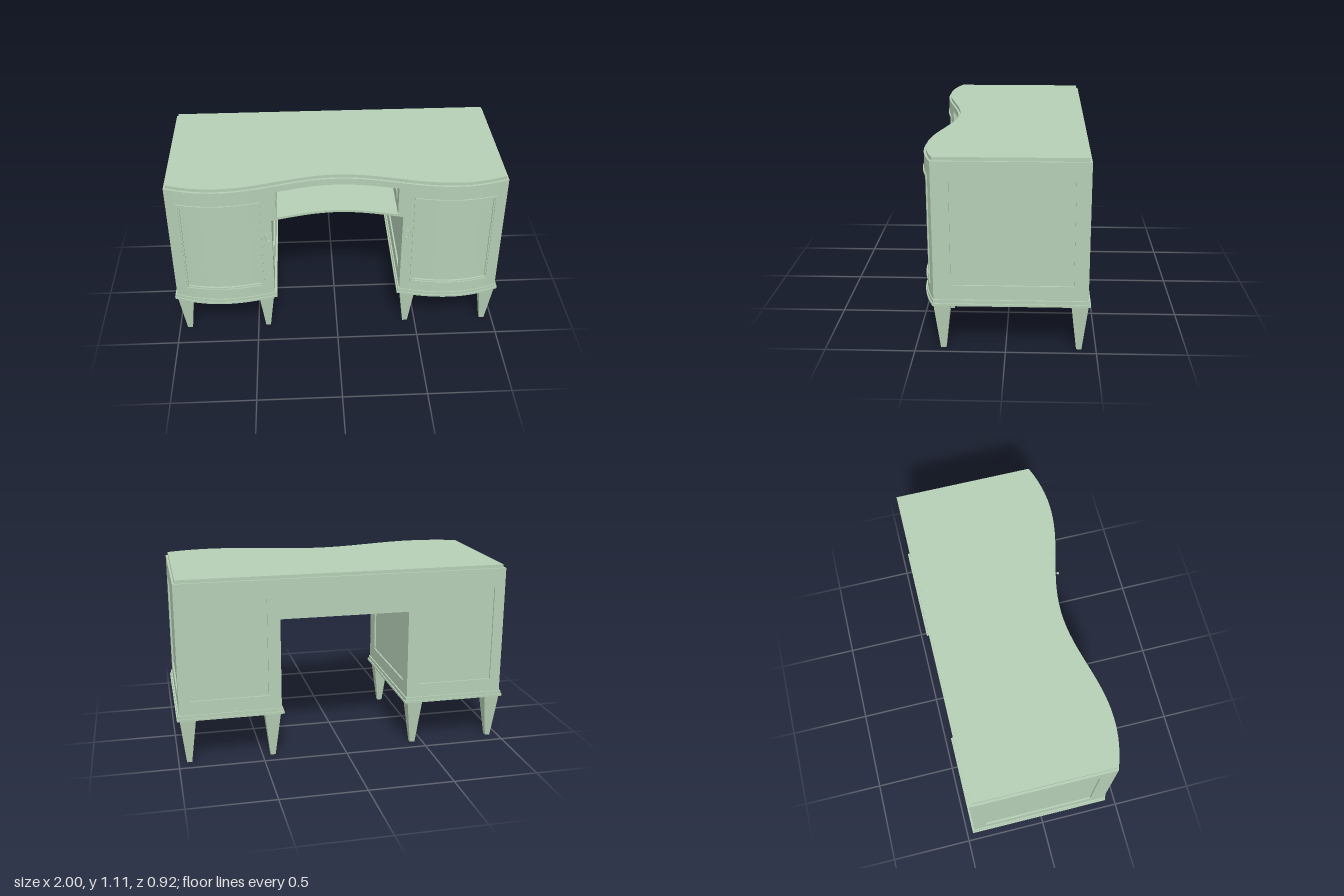
import * as THREE from 'three';
import { mergeGeometries, toCreasedNormals } from 'three/addons/utils/BufferGeometryUtils.js';

const material = new THREE.MeshStandardMaterial({ color: 0xb5ceb5 });
const BACK = -0.45, INSET = 0.01;

// Serpentine front: hollow in the middle, bowed over each pedestal
function frontZ(x) {
  const a = Math.abs(x);
  return a < 0.69
    ? 0.391 - 0.059 * Math.cos(Math.PI * a / 0.69)
    : 0.45 - 0.06 * ((a - 0.69) / 0.295) ** 2;
}

// Upright solid from xa to xb, its front following the curve plus an offset.
// The back is straight at z = back, or follows the curve when curvedBack is set.
function prism(xa, xb, y0, y1, offset, back, curvedBack = false) {
  const x0 = Math.min(xa, xb), x1 = Math.max(xa, xb);
  const n = Math.max(2, Math.ceil((x1 - x0) / 0.03));
  const shape = new THREE.Shape();
  const xs = Array.from({ length: n + 1 }, (_, i) => x0 + (x1 - x0) * i / n);
  xs.forEach((x, i) => shape[i ? 'lineTo' : 'moveTo'](x, -frontZ(x) - offset));
  if (curvedBack) {
    xs.reverse().forEach(x => shape.lineTo(x, -frontZ(x) - back));
  } else {
    shape.lineTo(x1, -back);
    shape.lineTo(x0, -back);
  }
  const g = new THREE.ExtrudeGeometry(shape, { depth: y1 - y0, bevelEnabled: false });
  g.rotateX(-Math.PI / 2).translate(0, y0, 0);
  return toCreasedNormals(g, 0.5);
}

// Curved rectangular frame on the front; outer and hole are [x0, x1, y0, y1]
function curvedFrame(s, [x0, x1, y0, y1], [a, b, c, d], offset, back) {
  return mergeGeometries([
    [x0, a, y0, y1], [b, x1, y0, y1], [a, b, y0, c], [a, b, d, y1],
  ].map(([l, r, lo, hi]) => prism(s * l, s * r, lo, hi, offset, back, true)));
}

// Flat frame with a rectangular hole, in the XY plane
function flatFrame([x0, x1, y0, y1], [a, b, c, d]) {
  const rect = (P, l, r, lo, hi) => new P([[l, lo], [r, lo], [r, hi], [l, hi]]
    .map(p => new THREE.Vector2(...p)));
  const shape = rect(THREE.Shape, x0, x1, y0, y1);
  shape.holes.push(rect(THREE.Path, a, b, c, d));
  return new THREE.ExtrudeGeometry(shape, { depth: INSET, bevelEnabled: false });
}

// Plate with a round top
function archPlate(halfWidth, height, depth) {
  const shape = new THREE.Shape();
  shape.moveTo(-halfWidth, 0);
  shape.lineTo(halfWidth, 0);
  shape.lineTo(halfWidth, height - halfWidth);
  shape.absarc(0, height - halfWidth, halfWidth, 0, Math.PI, false);
  return new THREE.ExtrudeGeometry(shape, { depth, bevelEnabled: false, curveSegments: 8 });
}

function add(parent, name, geometry, x = 0, y = 0, z = 0) {
  const mesh = new THREE.Mesh(geometry, material);
  mesh.name = name;
  mesh.position.set(x, y, z);
  parent.add(mesh);
  return mesh;
}

// Square tapered leg
function legGeometry() {
  const g = new THREE.CylinderGeometry(0.047 * Math.SQRT2, 0.015 * Math.SQRT2, 0.276, 4, 1);
  return toCreasedNormals(g.rotateY(Math.PI / 4), 0.3);
}

function handle(s) {
  const g = new THREE.Group();
  g.name = 'doorHandle';
  add(g, 'handlePlate', archPlate(0.018, 0.066, 0.005), 0, 0.702, 0);
  add(g, 'handleBoss', archPlate(0.011, 0.046, 0.010), 0, 0.711, 0);
  add(g, 'handleStem', new THREE.CylinderGeometry(0.003, 0.004, 0.036, 8).rotateX(Math.PI / 2), 0, 0.733, 0.018);
  add(g, 'handleKnob', new THREE.SphereGeometry(0.008, 12, 8), 0, 0.733, 0.036);
  g.position.set(s * 0.413, 0, frontZ(0.413) - 0.001);
  g.rotation.y = -s * 0.25;
  return g;
}

function pedestal(s) {
  const g = new THREE.Group();
  g.name = s > 0 ? 'leftPedestal' : 'rightPedestal';
  const top = 1.085, low = 0.3;

  // Core, whose faces show as the recessed panels
  add(g, 'cabinetCore', prism(s * 0.395, s * 0.975, 0.29, top, -INSET, BACK + INSET));

  // Curved front with door opening, and the door's two-step moulding
  add(g, 'cabinetFront', curvedFrame(s, [0.385, 0.985, low, top], [0.45, 0.92, 0.38, 0.99], 0, -INSET));
  add(g, 'doorMoulding', curvedFrame(s, [0.445, 0.925, 0.375, 0.995], [0.457, 0.913, 0.387, 0.983], 0.007, -INSET));
  add(g, 'doorInnerMoulding', curvedFrame(s, [0.457, 0.913, 0.387, 0.983], [0.466, 0.904, 0.396, 0.974], 0.001, -INSET));

  // Panelled back
  const back = [[0.385, 0.985], [0.46, 0.92]].map(p => p.map(v => v * s).sort((a, b) => a - b));
  add(g, 'backFrame', flatFrame([...back[0], low, top], [...back[1], 0.39, 0.975]), 0, 0, BACK);

  // Panelled outer side and kneehole side (shape x is -z after turning)
  const side = (name, x, front, panelTop) => add(g, name,
    flatFrame([-front, -BACK - INSET, low, top], [-0.295, 0.37, 0.39, panelTop])
      .rotateY(Math.PI / 2), Math.min(s * x, s * (x + INSET)));
  side('outerSideFrame', 0.975, 0.384, 0.975);
  side('kneeholeSideFrame', 0.385, 0.391, 0.79);

  // Base moulding and legs
  add(g, 'baseMouldingLower', prism(s * 0.37, s, 0.275, 0.288, 0.012, -0.463));
  add(g, 'baseMouldingUpper', prism(s * 0.377, s * 0.993, 0.288, 0.308, 0.006, -0.457));
  for (const x of [0.438, 0.937])
    for (const z of [0.345, -0.405]) add(g, 'leg', legGeometry(), s * x, 0.138, z);

  g.add(handle(s));
  return g;
}

export function createModel() {
  const desk = new THREE.Group();
  desk.name = 'pedestalDesk';
  desk.add(pedestal(1), pedestal(-1));

  // Desktop
  add(desk, 'desktop', prism(-0.972, 0.972, 1.085, 1.105, -0.013, -0.437));

  // Open compartment over the kneehole
  const middle = new THREE.Group();
  middle.name = 'middleCompartment';
  add(middle, 'compartmentFloor', prism(-0.385, 0.385, 0.85, 0.865, 0, BACK));
  add(middle, 'compartmentTop', prism(-0.385, 0.385, 1.045, 1.085, 0, BACK));
  add(middle, 'compartmentBack', new THREE.BoxGeometry(0.77, 0.18, 0.02), 0, 0.955, BACK + 0.01);
  for (const s of [1, -1]) {
    add(middle, 'compartmentSide', prism(s * 0.355, s * 0.385, 0.865, 1.045, 0, BACK + 0.02));
    add(middle, 'drawerRunner', new THREE.BoxGeometry(0.006, 0.045, 0.7), s * 0.352, 0.955, -0.02);
  }
  desk.add(middle);
  return desk;
}
